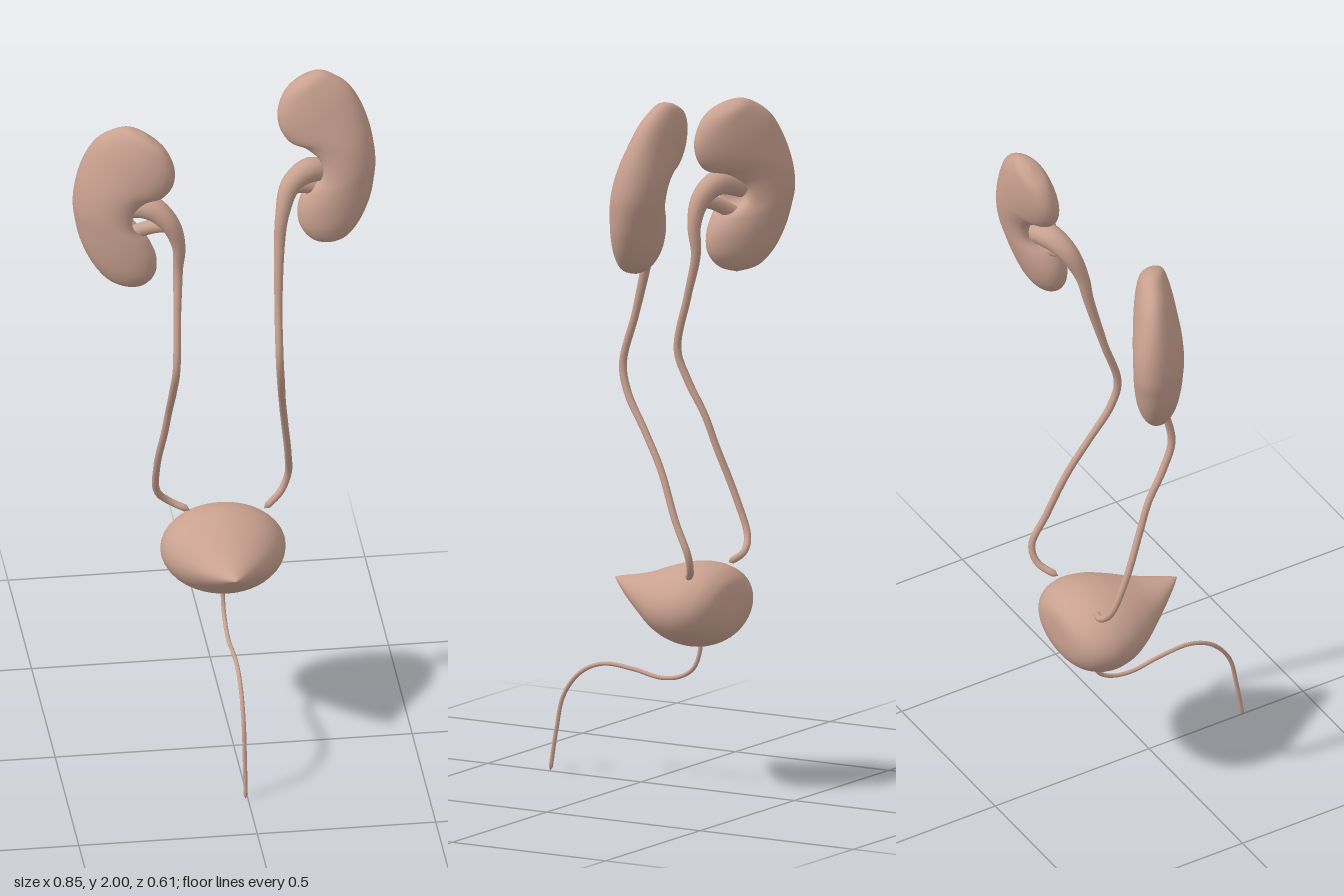
import * as THREE from 'three';
import { mergeVertices } from 'three/addons/utils/BufferGeometryUtils.js';

const TAU = Math.PI * 2;
const curve = (pts) => new THREE.CatmullRomCurve3(pts.map((p) => new THREE.Vector3(p[0], p[1], p[2])));

// Skin a surface over rings; at(u, angle) gives a point, angles turn about the travel direction
function loft(rows, sides, at) {
  const pos = [], idx = [];
  for (let i = 0; i <= rows; i++) {
    for (let j = 0; j < sides; j++) pos.push(...at(i / rows, (j / sides) * TAU, i));
  }
  for (let i = 0; i < rows; i++) {
    for (let j = 0; j < sides; j++) {
      const k = (j + 1) % sides;
      const a = i * sides + j, b = i * sides + k, c = a + sides, d = b + sides;
      idx.push(a, b, c, b, d, c);
    }
  }
  const g = new THREE.BufferGeometry();
  g.setAttribute('position', new THREE.Float32BufferAttribute(pos, 3));
  g.setIndex(idx);
  const merged = mergeVertices(g, 1e-5);
  merged.computeVertexNormals();
  return merged;
}

// Tube through points [x, y, z, radius], closed at both ends
function taperedTube(pts, rows = 90, sides = 14) {
  const path = curve(pts);
  const frames = path.computeFrenetFrames(rows, false);
  return loft(rows, sides, (u, a, i) => {
    const p = path.getPointAt(u);
    const f = path.getUtoTmapping(u) * (pts.length - 1);
    const k = Math.min(Math.floor(f), pts.length - 2);
    const r = i === 0 || i === rows ? 0 : THREE.MathUtils.lerp(pts[k][3], pts[k + 1][3], f - k);
    p.addScaledVector(frames.normals[i], r * Math.cos(a));
    p.addScaledVector(frames.binormals[i], r * Math.sin(a));
    return [p.x, p.y, p.z];
  });
}

// Bean outline from lower to upper pole: inner edge (x, y, half depth) and outer edge (x, y)
const inner = curve([
  [0.28, 1.503, 0], [0.235, 1.52, 0.035], [0.206, 1.56, 0.057], [0.203, 1.61, 0.068],
  [0.222, 1.66, 0.073], [0.245, 1.70, 0.075], [0.245, 1.755, 0.075], [0.222, 1.785, 0.072],
  [0.185, 1.80, 0.066], [0.158, 1.84, 0.058], [0.153, 1.89, 0.048], [0.175, 1.945, 0.034], [0.23, 1.988, 0],
]);
const outer = curve([
  [0.28, 1.503, 0], [0.335, 1.52, 0], [0.375, 1.565, 0], [0.405, 1.63, 0],
  [0.418, 1.69, 0], [0.423, 1.735, 0], [0.418, 1.79, 0], [0.408, 1.84, 0],
  [0.387, 1.90, 0], [0.357, 1.95, 0], [0.32, 1.98, 0], [0.28, 1.997, 0], [0.23, 1.988, 0],
]);

function kidney({ side, lift, z, tilt, yaw, depth }) {
  return loft(64, 36, (u, a) => {
    const m = inner.getPoint(u), l = outer.getPoint(u);
    const c = Math.cos(a);
    // Hollow on the inner edge where the pelvis enters
    const dent = 0.05 * Math.exp(-(((u - 0.45) / 0.07) ** 2)) * Math.max(0, -c) ** 10;
    const x = (m.x + l.x) / 2 + ((l.x - m.x) / 2) * c + dent;
    const y = (m.y + l.y) / 2 + ((l.y - m.y) / 2) * c;
    const thick = Math.max(0, m.z) * depth * Math.sin(a);
    return [side * x, y + lift, z + tilt * (y - 1.75) + yaw * (x - 0.285) - side * thick];
  });
}

// Bladder stations from back to front: [z, half width, top, bottom]
const bladderStations = [
  [-0.306, 0, 0.535, 0.535], [-0.303, 0.07, 0.582, 0.49], [-0.29, 0.118, 0.609, 0.453],
  [-0.26, 0.155, 0.631, 0.424], [-0.21, 0.174, 0.643, 0.408], [-0.15, 0.167, 0.638, 0.412],
  [-0.09, 0.138, 0.62, 0.435], [-0.03, 0.095, 0.598, 0.476], [0.03, 0.05, 0.584, 0.52],
  [0.07, 0.018, 0.577, 0.555], [0.088, 0, 0.572, 0.572],
];
const bladderSize = curve(bladderStations.map(([z, w, t, b]) => [w, (t - b) / 2, z]));
const bladderAxis = curve(bladderStations.map(([z, , t, b]) => [0, (t + b) / 2, z]));

function bladder() {
  return loft(60, 40, (u, a) => {
    const s = bladderSize.getPoint(u), m = bladderAxis.getPoint(u);
    return [-0.004 + Math.max(0, s.x) * Math.cos(a), m.y + Math.max(0, s.y) * Math.sin(a), s.z];
  });
}

export function createModel() {
  const model = new THREE.Group();
  model.name = 'urinarySystem';
  const tissue = new THREE.MeshStandardMaterial({ color: 0xc9a190 });
  tissue.name = 'tissue pink';
  const add = (name, geometry) => {
    const mesh = new THREE.Mesh(geometry, tissue);
    mesh.name = name;
    model.add(mesh);
  };

  add('leftKidney', kidney({ side: 1, lift: 0, z: -0.2, tilt: -0.18, yaw: 0, depth: 0.98 }));
  add('rightKidney', kidney({ side: -1, lift: -0.09, z: -0.15, tilt: -0.03, yaw: -0.45, depth: 1.08 }));

  // Each ureter widens into the pelvis at its kidney
  add('leftUreter', taperedTube([
    [0.31, 1.70, -0.2, 0.03], [0.235, 1.72, -0.18, 0.036], [0.18, 1.69, -0.155, 0.029],
    [0.152, 1.61, -0.125, 0.019], [0.143, 1.53, -0.11, 0.015], [0.134, 1.36, -0.065, 0.011],
    [0.132, 1.21, -0.022, 0.011], [0.138, 1.13, -0.042, 0.011], [0.15, 1.03, -0.105, 0.01],
    [0.164, 0.93, -0.165, 0.01], [0.182, 0.79, -0.225, 0.01], [0.187, 0.70, -0.268, 0.01],
    [0.165, 0.65, -0.262, 0.01], [0.115, 0.622, -0.225, 0.01],
  ]));
  add('rightUreter', taperedTube([
    [-0.3, 1.65, -0.16, 0.03], [-0.22, 1.672, -0.115, 0.036], [-0.168, 1.63, -0.09, 0.028],
    [-0.143, 1.56, -0.085, 0.019], [-0.144, 1.48, -0.09, 0.014], [-0.15, 1.36, -0.06, 0.011],
    [-0.157, 1.2, -0.022, 0.011], [-0.162, 1.12, -0.05, 0.011], [-0.168, 1.02, -0.105, 0.01],
    [-0.175, 0.94, -0.135, 0.01], [-0.19, 0.8, -0.19, 0.01], [-0.182, 0.69, -0.235, 0.01],
    [-0.145, 0.652, -0.245, 0.01], [-0.092, 0.63, -0.228, 0.01],
  ]));
  // Lower branch of each pelvis
  add('leftPelvisBranch', taperedTube([
    [0.17, 1.675, -0.15, 0.016], [0.21, 1.68, -0.165, 0.02], [0.27, 1.655, -0.18, 0.02],
  ], 20));
  add('rightPelvisBranch', taperedTube([
    [-0.16, 1.62, -0.085, 0.016], [-0.2, 1.62, -0.1, 0.02], [-0.27, 1.58, -0.14, 0.02],
  ], 20));

  add('bladder', bladder());
  add('urethra', taperedTube([
    [-0.006, 0.44, -0.19, 0.007], [-0.006, 0.39, -0.188, 0.006], [-0.006, 0.34, -0.168, 0.006],
    [-0.006, 0.311, -0.125, 0.006], [-0.006, 0.301, -0.06, 0.006], [-0.006, 0.316, 0.03, 0.006],
    [-0.006, 0.321, 0.127, 0.006], [-0.006, 0.29, 0.2, 0.006], [-0.006, 0.22, 0.256, 0.006],
    [-0.006, 0.12, 0.28, 0.006], [-0.006, 0, 0.3, 0.006],
  ], 70, 10));
  return model;
}
